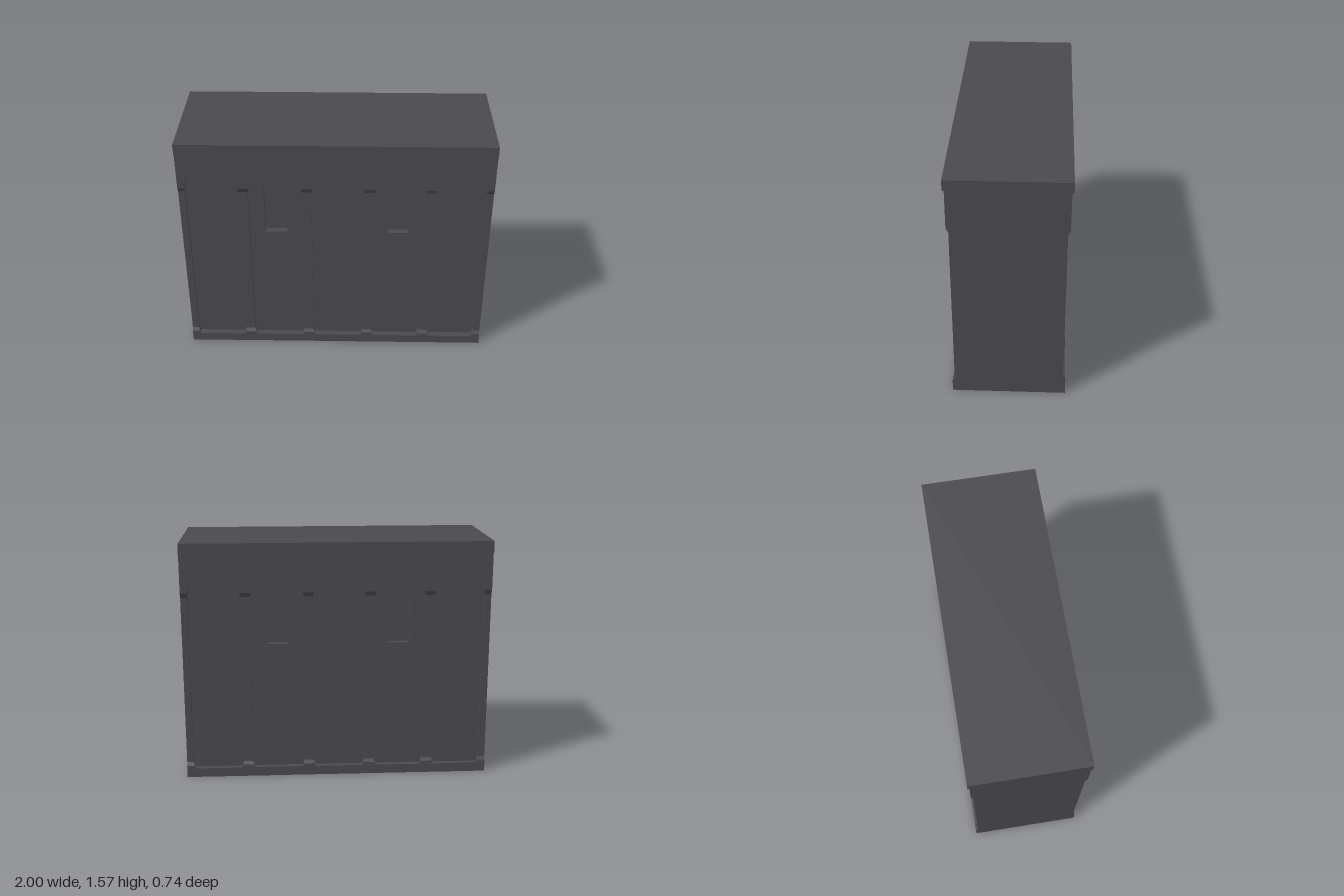
import * as THREE from 'three';

const stone = new THREE.MeshStandardMaterial({ color: 0x4a494e, side: THREE.DoubleSide });
stone.name = 'dark stone';

// Depths and heights shared by the parts
const H = 1.57, CORNICE_Y = 1.5, CORNICE_Z = 0.372;
const FACE_Z = 0.36, SHAFT_Z = 0.345, PANEL_Z = 0.32, WINDOW_Z = 0.28;
const BASE_Y = 0.06, SPRING_Y = 1.25, ARCH_H = 0.18;
const PIERS = [-1, -0.59, -0.185, 0.215, 0.603, 1];
const WINDOWS = { 1: [-0.46, -0.315], 3: [0.34, 0.475] };
// Pier section by height: [y, half width, z]
const PIER_ROWS = [
  [BASE_Y, 0.04, FACE_Z], [0.08, 0.04, FACE_Z], [0.1, 0.03, SHAFT_Z],
  [1.22, 0.03, SHAFT_Z], [SPRING_Y, 0.036, FACE_Z],
];

// Faceted sheet through rows of [x, y, z] points
function sheet(rows) {
  const n = rows[0].length, index = [];
  for (let r = 0; r < rows.length - 1; r++) {
    for (let i = 0; i < n - 1; i++) {
      const a = r * n + i, b = a + n;
      index.push(a, a + 1, b + 1, a, b + 1, b);
    }
  }
  const g = new THREE.BufferGeometry();
  g.setAttribute('position', new THREE.Float32BufferAttribute(rows.flat(2), 3));
  g.setIndex(index);
  const flat = g.toNonIndexed();
  flat.computeVertexNormals();
  return flat;
}

function add(group, name, geometry) {
  const mesh = new THREE.Mesh(geometry, stone);
  mesh.name = name;
  group.add(mesh);
  return mesh;
}

const shapeOf = (pts) => new THREE.Shape(pts.map(([x, y]) => new THREE.Vector2(x, y)));
const flatFace = (shape, z) => new THREE.ShapeGeometry(shape).translate(0, 0, z);

// Arc points from left to right
function arc(x0, x1, y, h, n) {
  const pts = [];
  for (let i = 0; i <= n; i++) {
    const a = Math.PI * (1 - i / n);
    pts.push([(x0 + x1) / 2 + Math.cos(a) * (x1 - x0) / 2, y + Math.sin(a) * h]);
  }
  return pts;
}

// Reveal running along an outline between two depths
const reveal = (pts, z0, z1) =>
  sheet([pts.map(([x, y]) => [x, y, z0]), pts.map(([x, y]) => [x, y, z1])]);

const halfWidth = (i, w) => (i === 0 || i === PIERS.length - 1 ? w + 0.013 : w);

function facade() {
  const g = new THREE.Group();

  // Plinth, its ledge, and the cornice
  const band = (name, a, b) => add(g, name, sheet([a, b].map(([y, z]) => [[-1, y, z], [1, y, z]])));
  band('plinth', [0, FACE_Z], [BASE_Y, FACE_Z]);
  band('corniceUnderside', [CORNICE_Y, FACE_Z], [CORNICE_Y, CORNICE_Z]);
  band('cornice', [CORNICE_Y, CORNICE_Z], [H, CORNICE_Z]);

  // Piers with base and capital mouldings
  PIERS.forEach((c, i) => {
    const rows = PIER_ROWS.map(([y, w, z]) => {
      const l = Math.max(-1, c - halfWidth(i, w)), r = Math.min(1, c + halfWidth(i, w));
      return [[l, y, PANEL_Z], [l, y, z], [r, y, z], [r, y, PANEL_Z]];
    });
    add(g, 'pier', sheet(rows));
  });

  // Recessed bays between the piers
  const archLine = [[-1, SPRING_Y]];
  for (let i = 0; i < PIERS.length - 1; i++) {
    const left = PIER_ROWS.map(([y, w]) => [PIERS[i] + halfWidth(i, w), y]);
    const right = PIER_ROWS.map(([y, w]) => [PIERS[i + 1] - halfWidth(i + 1, w), y]);
    const x0 = left[4][0], x1 = right[4][0];
    const arch = arc(x0, x1, SPRING_Y, ARCH_H, 16);
    archLine.push(...arch);
    add(g, 'archReveal', reveal(arch, PANEL_Z, FACE_Z));
    add(g, 'plinthLedge', reveal([left[0], right[0]], FACE_Z, PANEL_Z));

    const panel = shapeOf([...left, ...arch.slice(1, -1), ...right.reverse()]);
    if (WINDOWS[i]) {
      // Blind round-headed window
      const [a, b] = WINDOWS[i];
      const outline = [[a, 0.9], ...arc(a, b, 1.243, 0.072, 10), [b, 0.9]];
      panel.holes.push(new THREE.Path(outline.map(([x, y]) => new THREE.Vector2(x, y))));
      add(g, 'windowReveal', reveal([...outline, outline[0]], WINDOW_Z, PANEL_Z));
      add(g, 'windowBack', flatFace(shapeOf(outline), WINDOW_Z));
    }
    add(g, 'bayPanel', flatFace(panel, PANEL_Z));
  }

  // Wall face above the arches
  archLine.push([1, SPRING_Y], [1, CORNICE_Y], [-1, CORNICE_Y]);
  add(g, 'arcadeFace', flatFace(shapeOf(archLine), FACE_Z));
  return g;
}

export function createModel() {
  const model = new THREE.Group();
  model.name = 'arcadedWall';

  // Two matching long sides
  const front = facade();
  front.name = 'frontFacade';
  const back = facade();
  back.name = 'backFacade';
  back.rotation.y = Math.PI;
  model.add(front, back);

  // End walls follow the moulding profile
  const side = [
    [FACE_Z, 0], ...PIER_ROWS.map(([y, , z]) => [z, y]),
    [FACE_Z, CORNICE_Y], [CORNICE_Z, CORNICE_Y], [CORNICE_Z, H],
  ];
  const profile = shapeOf([...side, ...side.map(([z, y]) => [-z, y]).reverse()]);
  for (const s of [1, -1]) {
    const wall = add(model, s > 0 ? 'leftEndWall' : 'rightEndWall', new THREE.ShapeGeometry(profile));
    wall.rotation.y = s * Math.PI / 2;
    wall.position.x = s;
  }

  // Flat top; the underside stays open
  const top = add(model, 'top', new THREE.PlaneGeometry(2, CORNICE_Z * 2));
  top.rotation.x = -Math.PI / 2;
  top.position.y = H;
  return model;
}
